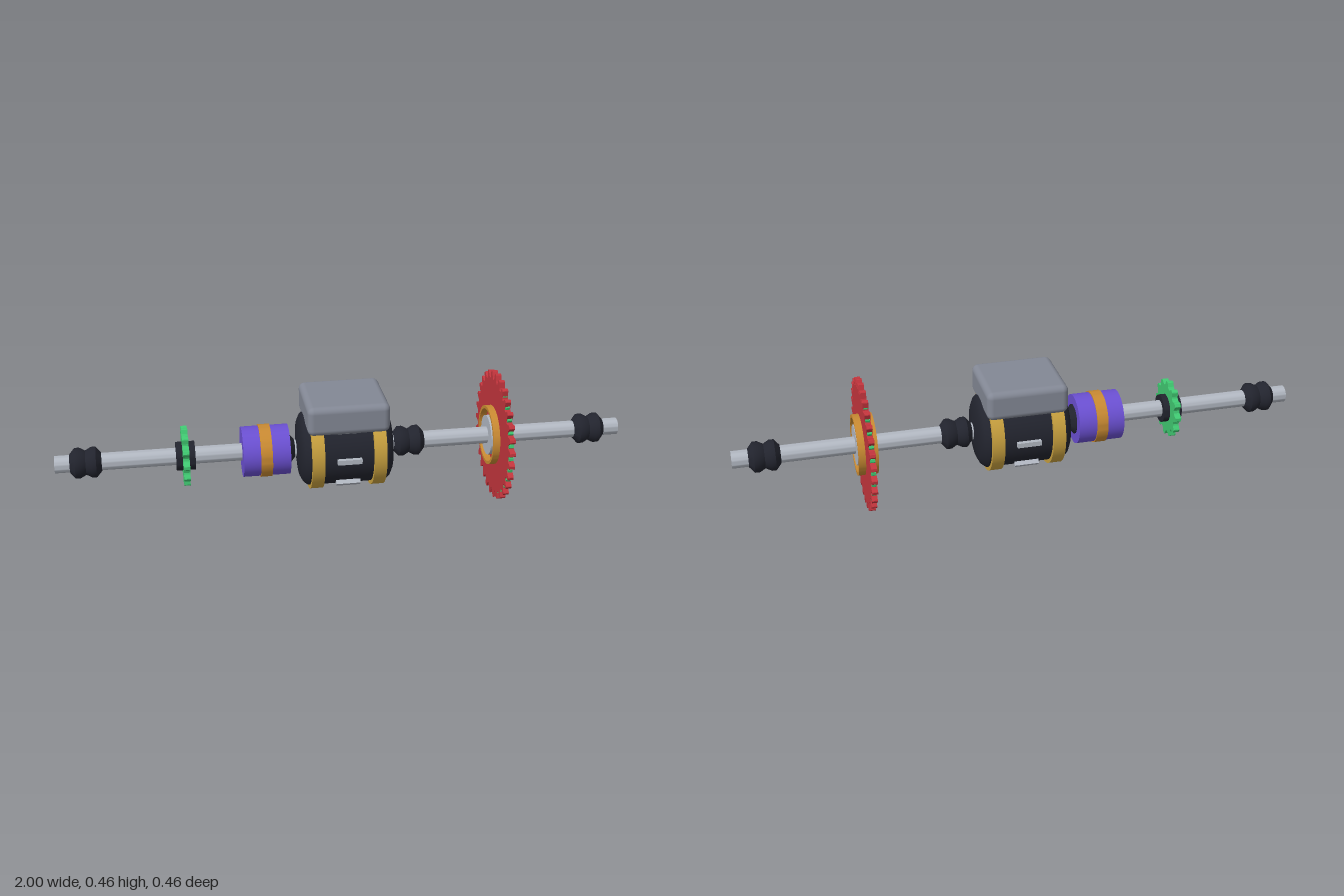
import * as THREE from 'three';
import { toCreasedNormals } from 'three/addons/utils/BufferGeometryUtils.js';
import { RoundedBoxGeometry } from 'three/addons/geometries/RoundedBoxGeometry.js';

const AXIS_Y = 0.2325;

function mat(name, color) {
  const m = new THREE.MeshStandardMaterial({ color });
  m.name = name;
  return m;
}

// Turned part along the x axis; profile is a list of [x, radius] from low x to high x
function turned(profile, segments = 48) {
  const pts = profile.map(([x, r]) => new THREE.Vector2(r, x));
  const g = new THREE.LatheGeometry(pts, segments);
  g.rotateZ(-Math.PI / 2);
  return toCreasedNormals(g, 0.6);
}

// Solid drum centred on x
function drum(x, width, r, segments) {
  const a = x - width / 2, b = x + width / 2;
  return turned([[a, 0], [a, r], [b, r], [b, 0]], segments);
}

// Open sleeve centred on x
function sleeve(x, width, inner, outer) {
  const a = x - width / 2, b = x + width / 2;
  return turned([[a, inner], [a, outer], [b, outer], [b, inner], [a, inner]], 64);
}

// Toothed disc facing x, with one tooth pointing up
function gear(x, teeth, tip, root, width) {
  const pitch = (Math.PI * 2) / teeth;
  const mid = root + (tip - root) * 0.2;
  const outline = [[-0.15, tip - 0.002], [-0.1, tip], [0.1, tip], [0.15, tip - 0.002],
    [0.3, mid], [0.4, root], [0.6, root], [0.7, mid]];
  const pts = [];
  for (let i = 0; i < teeth; i++) {
    for (const [f, r] of outline) {
      const a = Math.PI / 2 + (i + f) * pitch;
      pts.push(new THREE.Vector2(Math.cos(a) * r, Math.sin(a) * r));
    }
  }
  const g = new THREE.ExtrudeGeometry(new THREE.Shape(pts), { depth: width, bevelEnabled: false });
  g.translate(0, 0, -width / 2);
  g.rotateY(Math.PI / 2);
  g.translate(x, 0, 0);
  return g;
}

export function createModel() {
  const silver = mat('silver', 0xb2b8c2);
  const black = mat('black', 0x22242e);
  const red = mat('red', 0xc4353d);
  const green = mat('green', 0x40c972);
  const purple = mat('purple', 0x6b50d2);
  const orange = mat('orange', 0xc98a32);
  const gold = mat('gold', 0xc9a13f);
  const grey = mat('grey', 0x838895);

  const model = new THREE.Group();
  model.name = 'driveAxle';
  const axle = new THREE.Group();
  axle.name = 'axleAssembly';
  axle.position.y = AXIS_Y;
  model.add(axle);

  function add(name, geometry, material, parent = axle) {
    const mesh = new THREE.Mesh(geometry, material);
    mesh.name = name;
    parent.add(mesh);
    return mesh;
  }

  add('shaft', drum(0, 2, 0.03, 32), silver);

  // Twin-bulge boots along the shaft
  const boot = [[-0.054, 0], [-0.054, 0.032], [-0.036, 0.053], [-0.02, 0.053], [0, 0.042],
    [0.02, 0.053], [0.036, 0.053], [0.054, 0.032], [0.054, 0]];
  for (const x of [-0.895, -0.23, 0.23, 0.89]) {
    add('boot', turned(boot.map(([dx, r]) => [x + dx, r]), 24), black);
  }

  // Motor housing with rounded ends
  add('motorHousing', turned([[-0.175, 0], [-0.165, 0.06], [-0.16, 0.1], [-0.15, 0.12], [-0.135, 0.132],
    [0.135, 0.132], [0.15, 0.12], [0.16, 0.1], [0.165, 0.06], [0.175, 0]], 48), black);
  for (const side of [-1, 1]) {
    add('motorBand', sleeve(side * 0.108, 0.044, 0.125, 0.145), gold);
  }

  // Cooling ribs around the housing
  for (let i = 0; i < 8; i++) {
    const a = (i * Math.PI) / 4;
    const rib = add('coolingRib', new THREE.BoxGeometry(0.085, 0.03, 0.017), silver);
    rib.position.set(0, Math.cos(a) * 0.132, Math.sin(a) * 0.132);
    rib.rotation.x = a;
  }

  // Control box on top of the motor
  const box = add('controlBox', new RoundedBoxGeometry(0.285, 0.104, 0.262, 4, 0.022), grey);
  box.position.set(0, 0.147, 0);

  // Clutch drum beside the motor
  add('clutchDrum', drum(-0.278, 0.163, 0.088, 48), purple);
  add('clutchBand', sleeve(-0.28, 0.04, 0.08, 0.092), orange);

  // Small sprocket
  add('smallSprocket', gear(-0.555, 12, 0.104, 0.086, 0.022), green);
  add('smallSprocketHub', drum(-0.555, 0.066, 0.05, 32), black);

  // Large sprocket with the smaller backing gear between its faces
  add('largeSprocket', gear(0.55, 30, 0.2315, 0.204, 0.02), red);
  add('backingGear', gear(0.55, 28, 0.213, 0.19, 0.016), green);
  add('largeSprocketHub', drum(0.55, 0.066, 0.071, 48), silver);
  add('largeSprocketRing', sleeve(0.55, 0.068, 0.095, 0.106), orange);

  return model;
}
